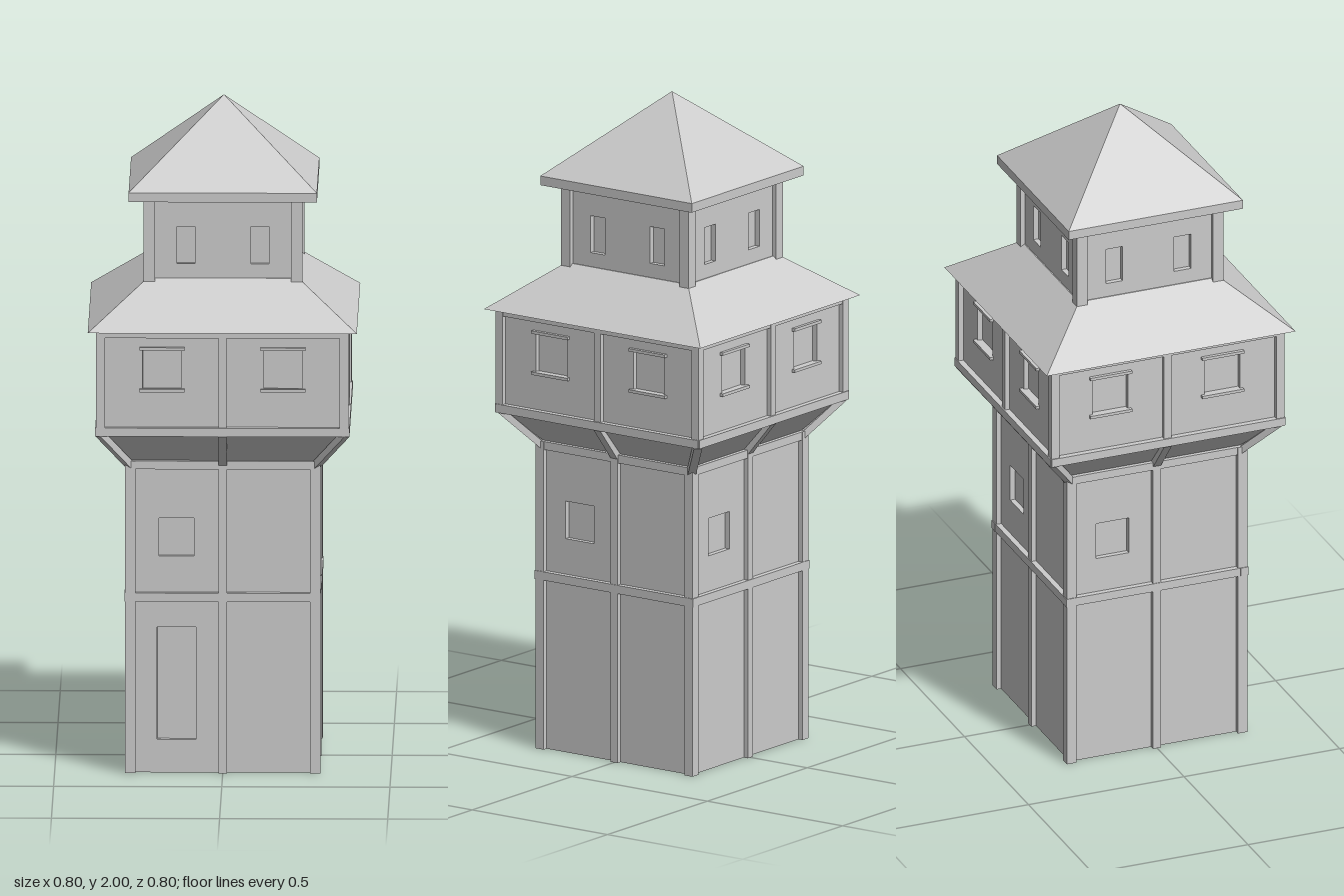
import * as THREE from 'three';

const material = new THREE.MeshStandardMaterial({ color: 0xcccccc, flatShading: true, side: THREE.DoubleSide });

function add(parent, name, geometry, x = 0, y = 0, z = 0) {
  const mesh = new THREE.Mesh(geometry, material);
  mesh.name = name;
  mesh.position.set(x, y, z);
  parent.add(mesh);
  return mesh;
}

// Box given by its centre in x and z and its lower and upper height
function box(parent, name, x, z, y0, y1, w, d) {
  return add(parent, name, new THREE.BoxGeometry(w, y1 - y0, d), x, (y0 + y1) / 2, z);
}

// Square frustum given by its lower and upper half widths
function frustum(parent, name, y0, y1, half0, half1) {
  const g = new THREE.CylinderGeometry(half1 * Math.SQRT2, half0 * Math.SQRT2, y1 - y0, 4);
  g.rotateY(Math.PI / 4);
  return add(parent, name, g, 0, (y0 + y1) / 2, 0);
}

// Wall facing +z with recessed openings [x0, x1, y0, y1]
function wall(parent, name, half, y0, y1, openings, thickness = 0.02) {
  const shape = new THREE.Shape();
  shape.moveTo(-half, y0).lineTo(half, y0).lineTo(half, y1).lineTo(-half, y1).closePath();
  for (const [a, b, c, d] of openings) {
    const hole = new THREE.Path();
    hole.moveTo(a, c).lineTo(a, d).lineTo(b, d).lineTo(b, c).closePath();
    shape.holes.push(hole);
    box(parent, name + 'Pane', (a + b) / 2, half - thickness, c - 0.004, d + 0.004, b - a + 0.008, 0.008);
  }
  add(parent, name, new THREE.ExtrudeGeometry(shape, { depth: thickness, bevelEnabled: false }), 0, 0, half - thickness);
}

// Sloping brace between two points
function brace(parent, name, from, to) {
  const a = new THREE.Vector3(...from), b = new THREE.Vector3(...to);
  const mesh = add(parent, name, new THREE.BoxGeometry(0.025, 0.02, a.distanceTo(b)));
  mesh.position.copy(a).add(b).multiplyScalar(0.5);
  mesh.lookAt(b);
}

function createSide(index) {
  const side = new THREE.Group();
  side.name = ['front', 'left', 'back', 'right'][index] + 'Side';

  // Shaft, with the door on the front only
  const openings = [[-0.19, -0.085, 0.655, 0.77]];
  if (index === 0) openings.push([-0.195, -0.08, 0.1, 0.44]);
  wall(side, 'shaftWall', 0.275, 0, 0.945, openings);
  box(side, 'shaftMiddlePost', 0, 0.28, 0, 0.945, 0.026, 0.02);
  box(side, 'shaftCornerPost', 0.275, 0.275, 0, 0.945, 0.03, 0.03);
  box(side, 'shaftMiddleBeam', 0, 0.28, 0.52, 0.546, 0.585, 0.024);
  box(side, 'shaftTopBeam', 0, 0.28, 0.92, 0.945, 0.57, 0.016);

  // Braces under the overhang
  brace(side, 'middleBrace', [0, 0.93, 0.275], [0, 1.042, 0.368]);
  brace(side, 'cornerBrace', [0.272, 0.925, 0.272], [0.365, 1.042, 0.365]);

  // Overhanging storey
  const wide = [-0.18, 0.18].map((x) => [x - 0.057, x + 0.057, 1.177, 1.296]);
  wall(side, 'galleryWall', 0.36, 1.04, 1.355, wide);
  box(side, 'galleryMiddlePost', 0, 0.365, 1.04, 1.355, 0.024, 0.018);
  box(side, 'galleryCornerPost', 0.362, 0.362, 1.04, 1.355, 0.026, 0.026);
  box(side, 'galleryBottomBeam', 0, 0.364, 1.036, 1.062, 0.75, 0.028);
  box(side, 'galleryTopBeam', 0, 0.365, 1.333, 1.355, 0.73, 0.016);
  for (const x of [-0.18, 0.18]) {
    box(side, 'windowSill', x, 0.363, 1.169, 1.178, 0.134, 0.016);
    box(side, 'windowLintel', x, 0.363, 1.295, 1.304, 0.134, 0.016);
  }

  // Lookout room
  const narrow = [-0.11, 0.11].map((x) => [x - 0.027, x + 0.027, 1.53, 1.643]);
  wall(side, 'lookoutWall', 0.222, 1.47, 1.735, narrow);
  box(side, 'lookoutCornerPost', 0.219, 0.219, 1.47, 1.735, 0.034, 0.034);
  side.rotation.y = index * Math.PI / 2;
  return side;
}

export function createModel() {
  const tower = new THREE.Group();
  tower.name = 'tower';
  for (let i = 0; i < 4; i++) tower.add(createSide(i));

  // Flared underside of the overhang
  frustum(tower, 'overhangUnderside', 0.945, 1.04, 0.275, 0.36);
  // Skirt roof
  frustum(tower, 'skirtRoof', 1.353, 1.487, 0.4, 0.225);
  // Top roof with its eave
  box(tower, 'topEave', 0, 0, 1.727, 1.755, 0.56, 0.56);
  const cone = new THREE.ConeGeometry(0.28 * Math.SQRT2, 0.245, 4);
  cone.rotateY(Math.PI / 4);
  add(tower, 'topRoof', cone, 0, 1.8775, 0);
  return tower;
}
